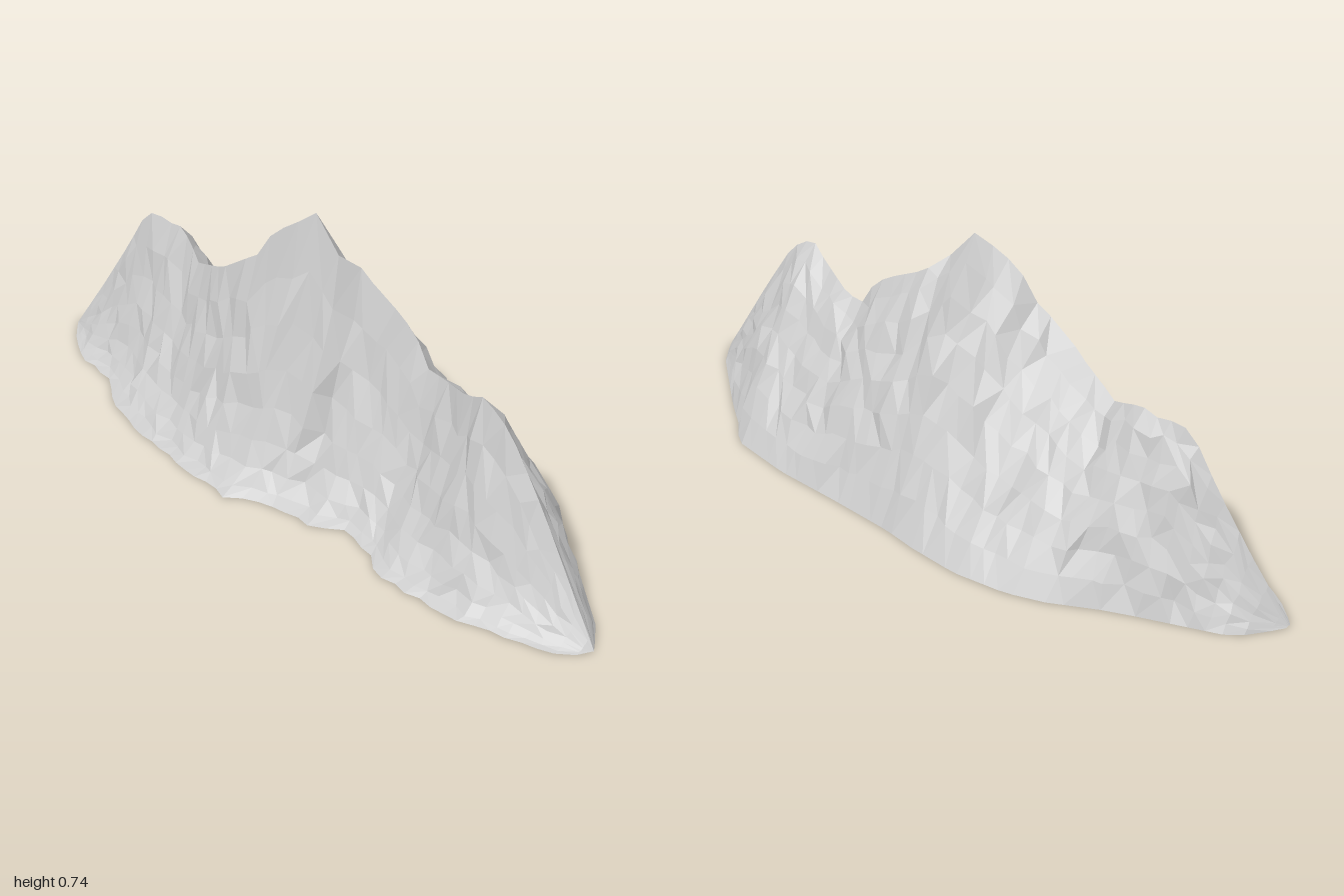
import * as THREE from 'three';

// Outlines as [x, value] pairs
const RIDGE_Y = [[-1, 0], [-0.73, 0.44], [-0.68, 0.475], [-0.64, 0.455], [-0.57, 0.47], [-0.46, 0.42], [-0.32, 0.48],
  [-0.22, 0.55], [-0.19, 0.56], [-0.13, 0.66], [-0.07, 0.7], [-0.02, 0.74], [0.07, 0.64], [0.12, 0.6], [0.25, 0.535], [0.3, 0.49],
  [0.34, 0.43], [0.4, 0.43], [0.52, 0.46], [0.58, 0.495], [0.64, 0.48], [0.7, 0.42], [0.8, 0.28], [0.95, 0.07], [1, 0]];
const RIDGE_Z = [[-1, 0.05], [-0.9, 0.02], [-0.8, 0], [-0.6, -0.01], [-0.52, 0.01], [-0.45, 0.04], [-0.3, 0.08], [-0.2, 0.08],
  [-0.07, 0.05], [-0.02, 0.02], [0.06, 0.02], [0.1, -0.02], [0.3, -0.02], [0.4, -0.01], [0.5, 0.03], [0.6, 0.06], [0.8, 0.07], [1, 0.1]];
const FRONT_Z = [[-1, 0.05], [-0.95, 0.1], [-0.85, 0.16], [-0.7, 0.18], [-0.6, 0.24], [-0.5, 0.27], [-0.4, 0.29], [-0.2, 0.31],
  [-0.05, 0.32], [0, 0.28], [0.1, 0.25], [0.2, 0.24], [0.25, 0.2], [0.35, 0.21], [0.45, 0.26], [0.6, 0.26], [0.7, 0.25],
  [0.8, 0.22], [0.9, 0.19], [0.97, 0.16], [1, 0.1]];
const BACK_Z = [[-1, 0.03], [-0.95, -0.05], [-0.9, -0.09], [-0.8, -0.13], [-0.7, -0.17], [-0.62, -0.205], [-0.5, -0.27],
  [-0.4, -0.305], [-0.25, -0.325], [-0.1, -0.315], [0, -0.3], [0.2, -0.29], [0.4, -0.285], [0.6, -0.255], [0.65, -0.2],
  [0.75, -0.13], [0.85, -0.05], [0.95, 0.03], [1, 0.1]];

function sample(table, x) {
  for (let i = 1; i < table.length; i++) {
    const [x0, v0] = table[i - 1], [x1, v1] = table[i];
    if (x <= x1) return v0 + (v1 - v0) * Math.max(0, (x - x0) / (x1 - x0));
  }
  return table[table.length - 1][1];
}

// Seeded value in -1..1
function makeRandom(seed) {
  return () => {
    seed = (seed * 16807) % 2147483647;
    return (seed / 2147483647) * 2 - 1;
  };
}

// Open shell: each cross-section runs from the front foot over the ridge to the back foot
function mountainGeometry() {
  const random = makeRandom(4217);
  const xs = [-1];
  for (let i = 0; i < 50; i++) xs.push(-0.98 + i * 0.04);
  xs.push(1);
  const rows = 8, span = rows * 2 + 1;
  const positions = [], index = [];

  for (const x of xs) {
    const top = sample(RIDGE_Y, x), ridge = sample(RIDGE_Z, x);
    const front = sample(FRONT_Z, x), back = sample(BACK_Z, x);
    const rough = Math.min(1, (1 - Math.abs(x)) * 4);
    for (let j = 0; j < span; j++) {
      const s = Math.abs(j - rows) / rows;
      const isFront = j < rows, isFoot = s === 1, isRidge = s === 0;
      // Concave front slope, slightly convex back slope
      const h = isFront ? Math.pow(1 - s, 1.75) : 1 - Math.pow(s, 1.15);
      const z = ridge + ((isFront ? front : back) - ridge) * s;
      const inner = isFoot || isRidge ? 0 : 1;
      const dx = random() * 0.012 * inner * rough;
      const dy = random() * 0.012 * inner * rough * h;
      const dz = random() * rough * (isFoot ? (isFront ? 0.008 : 0) : isRidge ? 0 : 0.009);
      positions.push(x + dx, Math.max(0, top * h + dy), z + dz);
    }
  }

  for (let i = 0; i < xs.length - 1; i++) {
    for (let j = 0; j < span - 1; j++) {
      const a = i * span + j, b = a + 1, c = a + span, d = c + 1;
      if (random() > 0) index.push(a, c, b, b, c, d);
      else index.push(a, c, d, a, d, b);
    }
  }

  const geometry = new THREE.BufferGeometry();
  geometry.setAttribute('position', new THREE.Float32BufferAttribute(positions, 3));
  geometry.setIndex(index);
  // Unshared corners give faceted rock
  const faceted = geometry.toNonIndexed();
  faceted.computeVertexNormals();
  return faceted;
}

export function createModel() {
  const group = new THREE.Group();
  group.name = 'mountainRange';
  const rock = new THREE.MeshStandardMaterial({ color: 0xcccccc, side: THREE.DoubleSide, flatShading: true });
  rock.name = 'rock grey';
  const mountain = new THREE.Mesh(mountainGeometry(), rock);
  mountain.name = 'mountainShell';
  group.add(mountain);
  return group;
}
